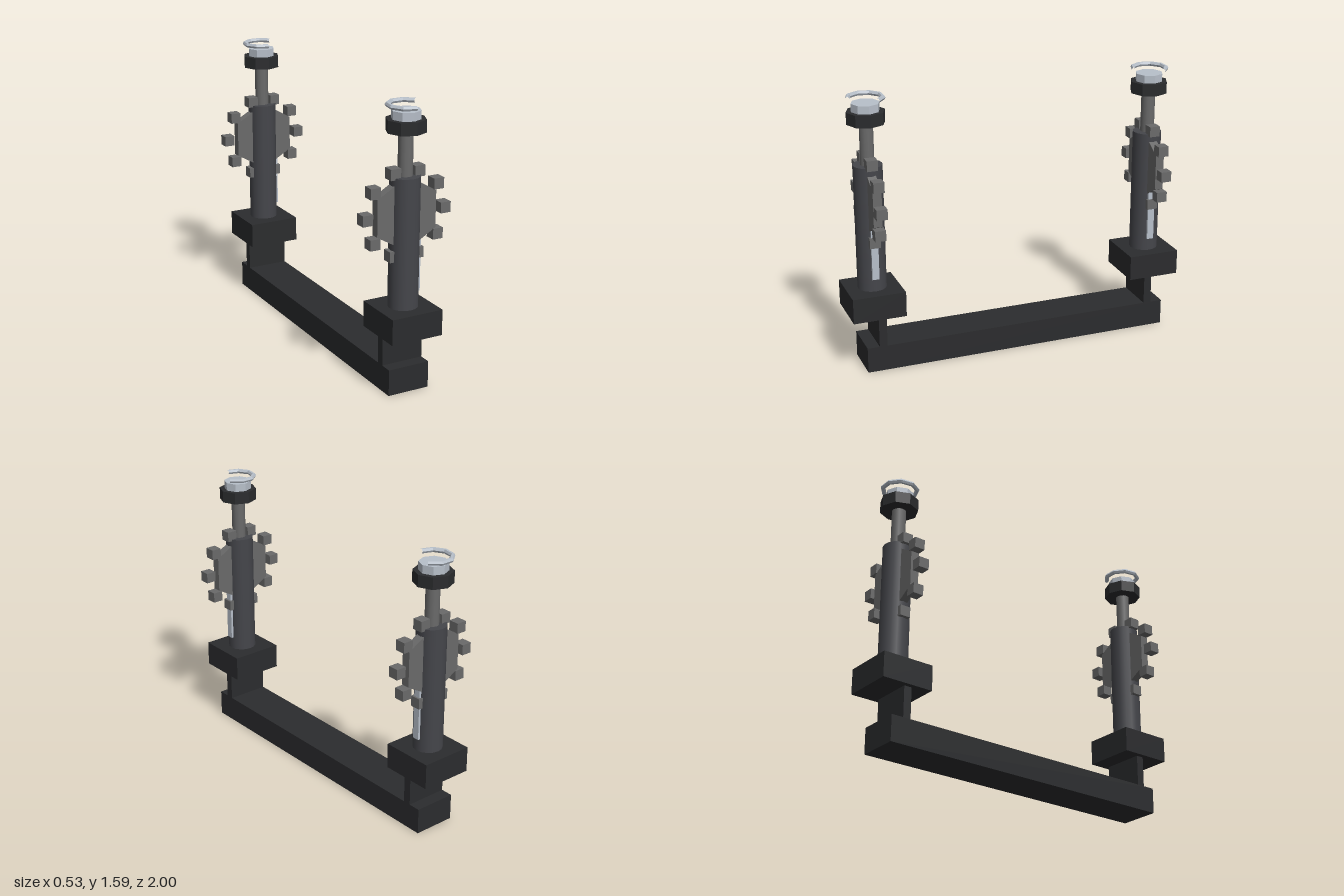
import * as THREE from 'three';

const mat = (color, flatShading = false) => new THREE.MeshStandardMaterial({ color, flatShading });
const black = mat(0x2b2c2e, true);
const darkSteel = mat(0x45464b);
const steel = mat(0x6a6a6a);
const steelFlat = mat(0x6a6a6a, true);
const silver = mat(0xb8c0ca, true);

function part(parent, name, geometry, material, x = 0, y = 0, z = 0) {
  const mesh = new THREE.Mesh(geometry, material);
  mesh.name = name;
  mesh.position.set(x, y, z);
  parent.add(mesh);
  return mesh;
}

const box = (w, h, d) => new THREE.BoxGeometry(w, h, d);
const rod = (r, h, sides) => new THREE.CylinderGeometry(r, r, h, sides);

// Flat hexagonal wheel ringed by ten small upright cubes
function createCogWheel() {
  const wheel = new THREE.Group();
  wheel.name = 'cogWheel';
  part(wheel, 'wheelPlate', rod(0.205, 0.05, 6).rotateX(Math.PI / 2).rotateZ(Math.PI), steelFlat);
  for (let i = 0; i < 10; i++) {
    const a = (i / 10) * Math.PI * 2;
    part(wheel, 'wheelTooth', box(0.06, 0.06, 0.062), steelFlat, Math.cos(a) * 0.236, Math.sin(a) * 0.236, 0);
  }
  return wheel;
}

// One upright column, standing on its bracket
function createColumn() {
  const column = new THREE.Group();
  column.name = 'column';
  part(column, 'footBlock', box(0.306, 0.146, 0.306), black, 0, 0.402, 0);
  part(column, 'outerTube', rod(0.083, 0.725, 16), darkSteel, 0, 0.8375, 0);
  part(column, 'innerRod', rod(0.04, 0.25, 12), steel, 0, 1.315, 0);
  part(column, 'collar', rod(0.109, 0.068, 8), black, 0, 1.47, 0);
  part(column, 'cap', rod(0.08, 0.046, 8), silver, 0, 1.527, 0);
  part(column, 'sideStrip', box(0.03, 0.3, 0.04), silver, 0.077, 0.7, 0);

  // Open ring above the cap
  const ring = new THREE.TorusGeometry(0.098, 0.0135, 6, 6, Math.PI * 4 / 3);
  ring.rotateZ(Math.PI / 2).rotateX(Math.PI / 2);
  part(column, 'openRing', ring, silver, 0, 1.577, 0);

  const wheel = createCogWheel();
  wheel.position.y = 0.996;
  column.add(wheel);
  return column;
}

export function createModel() {
  const model = new THREE.Group();
  model.name = 'twinColumnStand';

  part(model, 'baseBeam', box(0.246, 0.15, 1.84), black, 0, 0.075, 0);

  for (const side of [1, -1]) {
    part(model, 'supportPlate', box(0.246, 0.18, 0.046), black, 0, 0.24, side * 0.826);
    const column = createColumn();
    column.position.z = side * 0.847;
    model.add(column);
  }
  return model;
}
